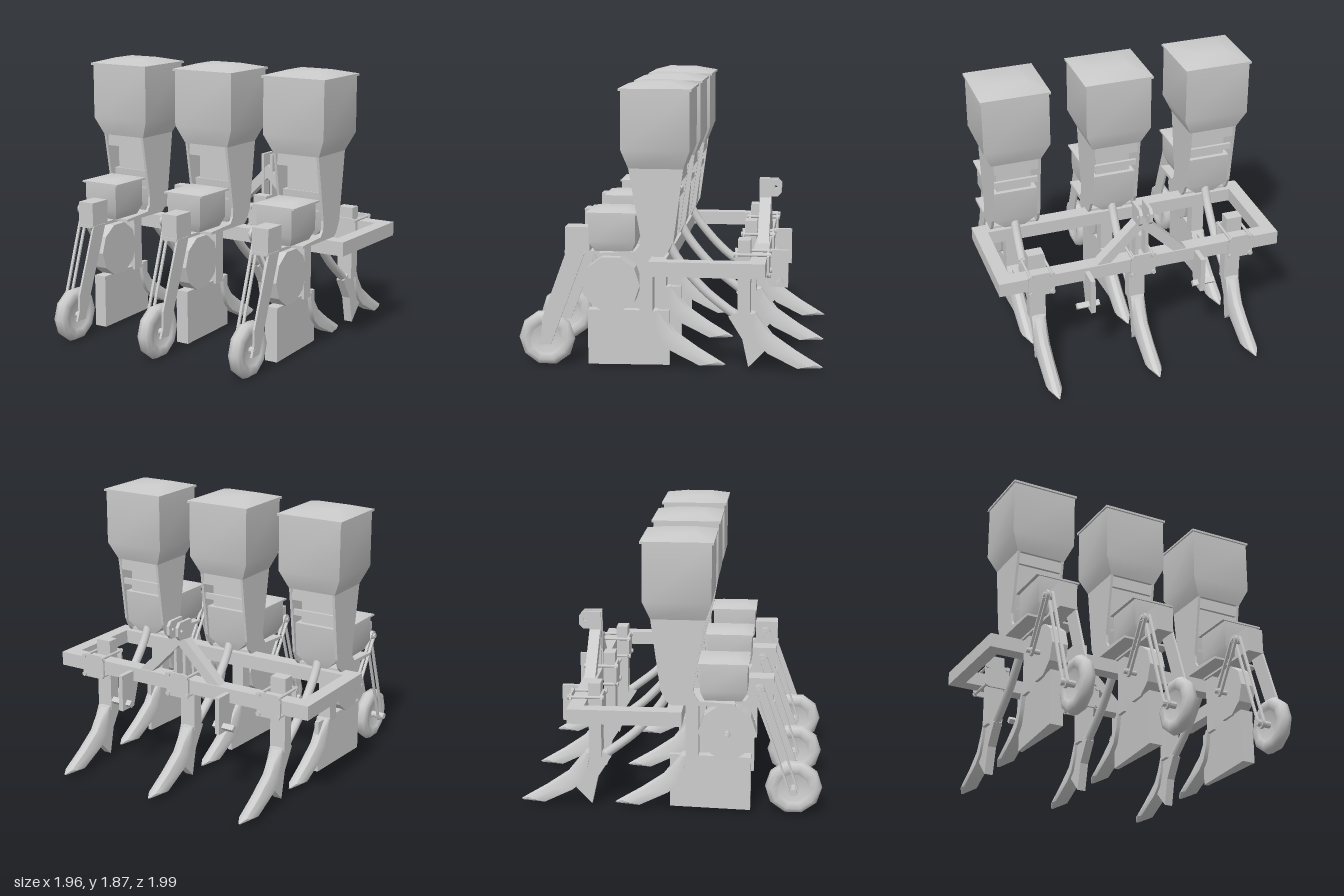
import * as THREE from 'three';
import { toCreasedNormals } from 'three/addons/utils/BufferGeometryUtils.js';

const grey = new THREE.MeshStandardMaterial({ color: 0xcccccc });

function add(parent, name, geometry) {
  const mesh = new THREE.Mesh(geometry, grey);
  mesh.name = name;
  parent.add(mesh);
  return mesh;
}

// Box from its limits on each axis
function box(parent, name, [x0, x1], [y0, y1], [z0, z1]) {
  const g = new THREE.BoxGeometry(x1 - x0, y1 - y0, z1 - z0);
  return add(parent, name, g.translate((x0 + x1) / 2, (y0 + y1) / 2, (z0 + z1) / 2));
}

// Closed skin over a row of cross-sections of [x, y, z] points
function loft(parent, name, rings) {
  const n = rings[0].length, index = [];
  for (let i = 0; i < rings.length - 1; i++) {
    for (let j = 0; j < n; j++) {
      const a = i * n + j, b = i * n + (j + 1) % n;
      index.push(a, b, b + n, a, b + n, a + n);
    }
  }
  const last = (rings.length - 1) * n;
  for (let j = 1; j < n - 1; j++) index.push(0, j + 1, j, last, last + j, last + j + 1);
  const g = new THREE.BufferGeometry();
  g.setAttribute('position', new THREE.Float32BufferAttribute(rings.flat(2), 3));
  g.setIndex(index);
  return add(parent, name, toCreasedNormals(g, 0.55));
}

// Rectangular sections stacked upwards: [y, half width, z min, z max]
function stack(parent, name, levels) {
  return loft(parent, name, levels.map(([y, h, z0, z1]) =>
    [[-h, y, z1], [h, y, z1], [h, y, z0], [-h, y, z0]]));
}

// Extrude a shape drawn in (z, y) across x
function side(parent, name, shape, x, width) {
  const g = new THREE.ExtrudeGeometry(shape, { depth: width, bevelEnabled: false, curveSegments: 6 });
  return add(parent, name, g.translate(0, 0, -width / 2).rotateY(-Math.PI / 2).translate(x, 0, 0));
}
const poly = (pts) => new THREE.Shape(pts.map(([a, b]) => new THREE.Vector2(a, b)));

// Cylinder lying along x
function shaft(parent, name, x0, x1, [z, y], r, sides = 10) {
  const g = new THREE.CylinderGeometry(r, r, x1 - x0, sides).rotateZ(Math.PI / 2);
  return add(parent, name, toCreasedNormals(g.translate((x0 + x1) / 2, y, z), 0.5));
}

// Drive chain loop round two sprocket centres
function chain(parent, a, b, r, x) {
  const f = Math.atan2(b[1] - a[1], b[0] - a[0]), q = Math.PI / 2;
  const loop = (path, rad) => {
    path.absarc(a[0], a[1], rad, f + q, f + 3 * q, false);
    path.absarc(b[0], b[1], rad, f - q, f + q, false);
    path.closePath();
    return path;
  };
  const shape = loop(new THREE.Shape(), r);
  shape.holes.push(loop(new THREE.Path(), r - 0.012));
  side(parent, 'driveChain', shape, x, 0.018);
}

// Curved pointed share with a rounded leading face
function share(parent, name, dz) {
  const stations = [ // ridge z, y, underside z, y, half width
    [0.07, 0.385, 0.11, 0.385, 0.048], [0.01, 0.31, 0.09, 0.28, 0.048],
    [-0.04, 0.245, 0.05, 0.18, 0.048], [-0.19, 0.14, -0.01, 0.125, 0.048],
    [-0.33, 0.055, -0.2, 0.03, 0.046], [-0.365, 0.032, -0.35, 0.025, 0.005]];
  const section = [[1, 0.5], [1, 0], [-1, 0], [-1, 0.5], [-0.6, 0.88], [0, 1], [0.6, 0.88]];
  loft(parent, name, stations.map(([rz, ry, uz, uy, w]) =>
    section.map(([s, t]) => [s * w, uy + (ry - uy) * t, uz + (rz - uz) * t + dz])));
}

function createRowUnit() {
  const u = new THREE.Group();
  u.name = 'rowUnit';

  // Main hopper with lid
  stack(u, 'hopper', [[1.33, 0.17, -0.107, 0.24], [1.45, 0.225, -0.152, 0.28], [1.825, 0.225, -0.152, 0.28]]);
  stack(u, 'hopperLid', [[1.82, 0.235, -0.165, 0.293], [1.835, 0.235, -0.165, 0.293], [1.87, 0.11, -0.01, 0.175]]);

  // Hopper stand: two side plates, cross strips, floor
  const plate = poly([[0.24, 1.33], [0.165, 0.9], [0.17, 0.84], [0.2, 0.8], [0.43, 0.787], [0.43, 0.77],
    [0.02, 0.77], [-0.01, 0.8], [-0.045, 0.87], [-0.107, 1.33]]);
  for (const s of [-1, 1]) side(u, 'standPlate', plate, s * 0.161, 0.018);
  box(u, 'frontStrip', [-0.155, 0.155], [1.25, 1.33], [0.2, 0.22]);
  box(u, 'rearStrip', [-0.155, 0.155], [1.25, 1.33], [-0.095, -0.075]);
  box(u, 'rearStrip', [-0.155, 0.155], [1.14, 1.18], [-0.075, -0.055]);
  box(u, 'standFloor', [-0.17, 0.17], [0.77, 0.785], [0.02, 0.43]);

  // Seed chute, funnel and delivery tube
  box(u, 'seedChute', [-0.12, 0.12], [0.95, 1.34], [-0.02, 0.14]);
  stack(u, 'seedFunnel', [[0.78, 0.07, -0.005, 0.1], [0.85, 0.15, -0.03, 0.13], [1.08, 0.15, -0.05, 0.15]]);
  const path = new THREE.CatmullRomCurve3([[0.82, 0], [0.73, -0.05], [0.53, -0.22], [0.36, -0.43]]
    .map(([y, z]) => new THREE.Vector3(0, y, z)));
  add(u, 'seedTube', new THREE.TubeGeometry(path, 14, 0.03, 10));

  // Small front box on its carrier plate
  stack(u, 'smallBox', [[0.785, 0.1, 0.23, 0.47], [0.85, 0.13, 0.205, 0.505], [1.04, 0.13, 0.205, 0.505]]);
  stack(u, 'smallBoxLid', [[1.03, 0.152, 0.192, 0.515], [1.042, 0.152, 0.192, 0.515], [1.062, 0.08, 0.27, 0.44]]);
  box(u, 'carrierPlate', [-0.06, 0.06], [0.755, 0.775], [0.1, 0.675]);
  box(u, 'gearBox', [-0.06, 0.06], [0.77, 0.93], [0.51, 0.67]);

  // Metering drum, standard and furrow opener
  const drum = [0.375, 0.555], gear = [0.58, 0.86], hub = [0.81, 0.178];
  shaft(u, 'meteringDrum', -0.055, 0.055, drum, 0.188);
  box(u, 'standard', [-0.045, 0.045], [0.36, 0.76], [0.105, 0.19]);
  loft(u, 'openerBlade', [[0.53, 0.045], [0, 0.015]].map(([z, w]) =>
    [[w, 0.02, z], [-w, 0.02, z], [-w, 0.383, z], [w, 0.383, z]]));
  share(u, 'openerShare', 0);

  // Press wheel, fork and chain drive
  const half = [[0, 0.018], [0.095, 0.024], [0.105, 0.042], [0.145, 0.047], [0.175, 0.033]];
  const tyre = [...half.map(([r, h]) => [r, -h]), [0.187, 0], ...half.slice().reverse()];
  const wheel = new THREE.LatheGeometry(tyre.map(([r, h]) => new THREE.Vector2(r, h)), 10);
  add(u, 'pressWheel', wheel.rotateZ(Math.PI / 2).translate(0, hub[1], hub[0]));
  side(u, 'wheelFork', poly([[0.665, 0.77], [0.54, 0.77], [0.585, 0.745], [0.775, 0.145], [0.86, 0.145],
    [0.835, 0.21], [0.83, 0.32]].filter((p, i) => i !== 2)), 0.057, 0.015);
  shaft(u, 'wheelAxle', -0.115, 0.065, hub, 0.022);
  shaft(u, 'gearShaft', -0.135, 0, gear, 0.016);
  shaft(u, 'drumShaft', -0.15, 0, drum, 0.016);
  for (const [x, c] of [[-0.08, hub], [-0.08, gear], [-0.112, gear], [-0.112, drum]]) {
    shaft(u, 'sprocket', x - 0.012, x + 0.012, c, 0.024);
  }
  chain(u, hub, gear, 0.034, -0.08);
  chain(u, gear, drum, 0.034, -0.112);

  // Rear tine: shank, foot and share
  box(u, 'tineShank', [-0.055, 0.055], [0.36, 0.865], [-0.525, -0.444]);
  side(u, 'tineFoot', poly([[-0.444, 0.39], [-0.385, 0.355], [-0.475, 0.21], [-0.515, 0.025],
    [-0.62, 0.135], [-0.6, 0.25], [-0.525, 0.39]]), 0, 0.06);
  share(u, 'tineShare', -0.63);

  // Clamp: chamfered plates joined by four bolts
  const w = 0.088, c = 0.025, y0 = 0.628, y1 = 0.792;
  const clamp = poly([[-w + c, y0], [w - c, y0], [w, y0 + c], [w, y1 - c], [w - c, y1], [-w + c, y1],
    [-w, y1 - c], [-w, y0 + c]]);
  for (const z of [-0.645, -0.444]) {
    add(u, 'clampPlate', new THREE.ExtrudeGeometry(clamp, { depth: 0.014, bevelEnabled: false }).translate(0, 0, z));
  }
  for (const x of [-0.073, 0.073]) for (const y of [0.645, 0.775]) {
    add(u, 'clampBolt', new THREE.CylinderGeometry(0.01, 0.01, 0.235, 8).rotateX(Math.PI / 2).translate(x, y, -0.538));
    for (const z of [-0.65, -0.425]) {
      add(u, 'boltNut', new THREE.CylinderGeometry(0.017, 0.017, 0.012, 6).rotateX(Math.PI / 2).translate(x, y, z));
    }
  }
  return u;
}

export function createModel() {
  const model = new THREE.Group();
  model.name = 'threeRowPlanter';

  // Rectangular frame
  box(model, 'rearBeam', [-0.98, 0.98], [0.665, 0.76], [-0.63, -0.53]);
  box(model, 'frontBeam', [-0.9, 0.9], [0.665, 0.76], [0, 0.1]);

  for (const s of [-1, 1]) {
    const x = s * 0.935;
    box(model, 'sideBeam', [x - 0.045, x + 0.045], [0.665, 0.76], [-0.54, 0.1]);

    // Slanted mast brace
    const brace = poly([[0.32, 0.755], [0.225, 0.755], [0, 0.98], [0, 1.075]].map(([a, b]) => [s * a, b]));
    add(model, 'mastBrace', new THREE.ExtrudeGeometry(brace, { depth: 0.075, bevelEnabled: false }).translate(0, 0, -0.62));

    // Top link lug with pin hole
    const lug = poly([[-0.54, 0.755], [-0.54, 1.155], [-0.665, 1.155], [-0.692, 1.125], [-0.692, 1.065],
      [-0.665, 1.035], [-0.612, 1.035], [-0.612, 0.755]]);
    lug.holes.push(new THREE.Path().absarc(-0.652, 1.1, 0.012, 0, Math.PI * 2));
    side(model, 'topLinkLug', lug, s * 0.035, 0.022);

    // Lower link bracket with cross pin
    side(model, 'lowerLinkBracket', poly([[-0.62, 0.735], [-0.755, 0.735], [-0.755, 0.485], [-0.63, 0.485],
      [-0.58, 0.64], [-0.58, 0.67], [-0.62, 0.67]]), s * 0.385, 0.032);
    shaft(model, 'lowerLinkPin', s * 0.408 - 0.077, s * 0.408 + 0.077, [-0.706, 0.527], 0.026, 4);
  }

  for (const x of [-0.7, 0, 0.7]) {
    const unit = createRowUnit();
    unit.position.x = x;
    model.add(unit);
  }
  return model;
}
